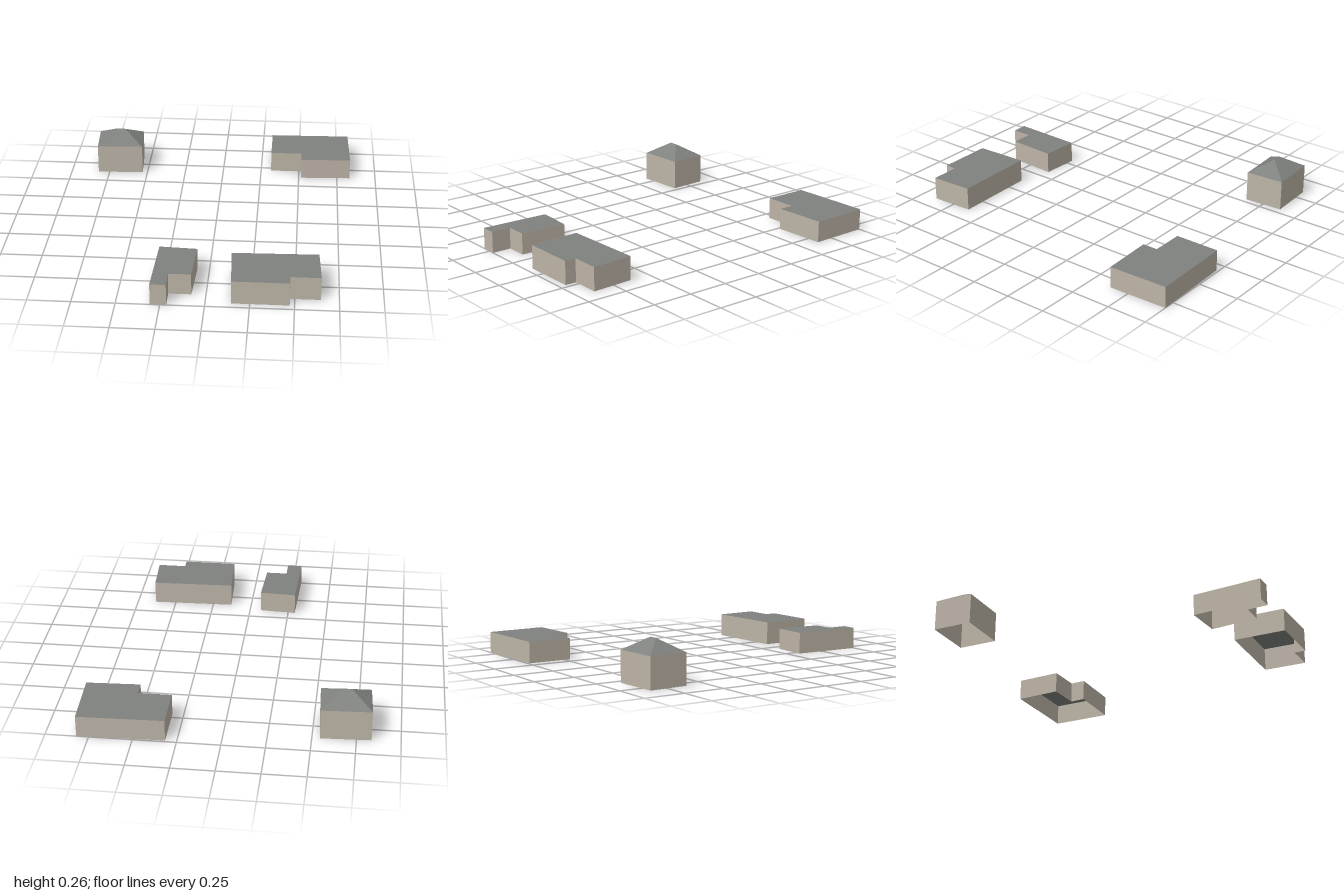
import * as THREE from 'three';

const wallMaterial = new THREE.MeshStandardMaterial({ name: 'warm stone wall', color: 0xbdb4a7, side: THREE.DoubleSide });
const roofMaterial = new THREE.MeshStandardMaterial({ name: 'slate roof', color: 0x7f827f, side: THREE.DoubleSide });

// Flat polygons (triangles or quads, anticlockwise from outside) as one geometry
function facets(faces) {
  const positions = [];
  for (const face of faces) {
    for (let i = 1; i < face.length - 1; i++) positions.push(...face[0], ...face[i], ...face[i + 1]);
  }
  const geometry = new THREE.BufferGeometry();
  geometry.setAttribute('position', new THREE.Float32BufferAttribute(positions, 3));
  geometry.computeVertexNormals();
  return geometry;
}

function addMesh(group, name, geometry, material) {
  const mesh = new THREE.Mesh(geometry, material);
  mesh.name = name;
  group.add(mesh);
}

// Open-bottomed walls around a footprint of [x, z] corners, clockwise from above
function wallGeometry(footprint, height) {
  return facets(footprint.map(([ax, az], i) => {
    const [bx, bz] = footprint[(i + 1) % footprint.length];
    return [[ax, 0, az], [ax, height, az], [bx, height, bz], [bx, 0, bz]];
  }));
}

function flatRoofGeometry(footprint, height) {
  const shape = new THREE.Shape(footprint.map(([x, z]) => new THREE.Vector2(x, -z)));
  return new THREE.ShapeGeometry(shape).rotateX(-Math.PI / 2).translate(0, height, 0);
}

// Hipped roof: eaves from the four footprint corners, ridge given by two points
function hipRoofGeometry(footprint, height, ridgeLeft, ridgeRight) {
  const [backLeft, backRight, frontRight, frontLeft] = footprint.map(([x, z]) => [x, height, z]);
  return facets([
    [backLeft, ridgeLeft, ridgeRight, backRight],
    [backRight, ridgeRight, frontRight],
    [frontRight, ridgeRight, ridgeLeft, frontLeft],
    [frontLeft, ridgeLeft, backLeft],
  ]);
}

const buildings = [
  {
    name: 'hipRoofHouse', height: 0.185,
    footprint: [[-0.835, -0.859], [-0.546, -0.871], [-0.532, -0.635], [-0.822, -0.621]],
    ridge: [[-0.712, 0.26, -0.746], [-0.655, 0.26, -0.746]],
  },
  {
    name: 'backLeftBuilding', height: 0.13,
    footprint: [[0.316, -0.988], [0.82, -1], [0.832, -0.634], [0.514, -0.621], [0.514, -0.714], [0.316, -0.714]],
  },
  {
    name: 'frontRightBuilding', height: 0.13,
    footprint: [[-0.293, 0.575], [-0.07, 0.588], [-0.083, 0.878], [-0.214, 0.878], [-0.214, 1], [-0.306, 1]],
  },
  {
    name: 'frontLeftBuilding', height: 0.142,
    footprint: [[0.131, 0.641], [0.633, 0.629], [0.647, 0.889], [0.473, 0.889], [0.473, 0.959], [0.145, 0.959]],
  },
];

export function createModel() {
  const model = new THREE.Group();
  model.name = 'buildingCluster';
  for (const { name, height, footprint, ridge } of buildings) {
    const building = new THREE.Group();
    building.name = name;
    addMesh(building, 'walls', wallGeometry(footprint, height), wallMaterial);
    const roof = ridge ? hipRoofGeometry(footprint, height, ...ridge) : flatRoofGeometry(footprint, height);
    addMesh(building, 'roof', roof, roofMaterial);
    model.add(building);
  }
  return model;
}
